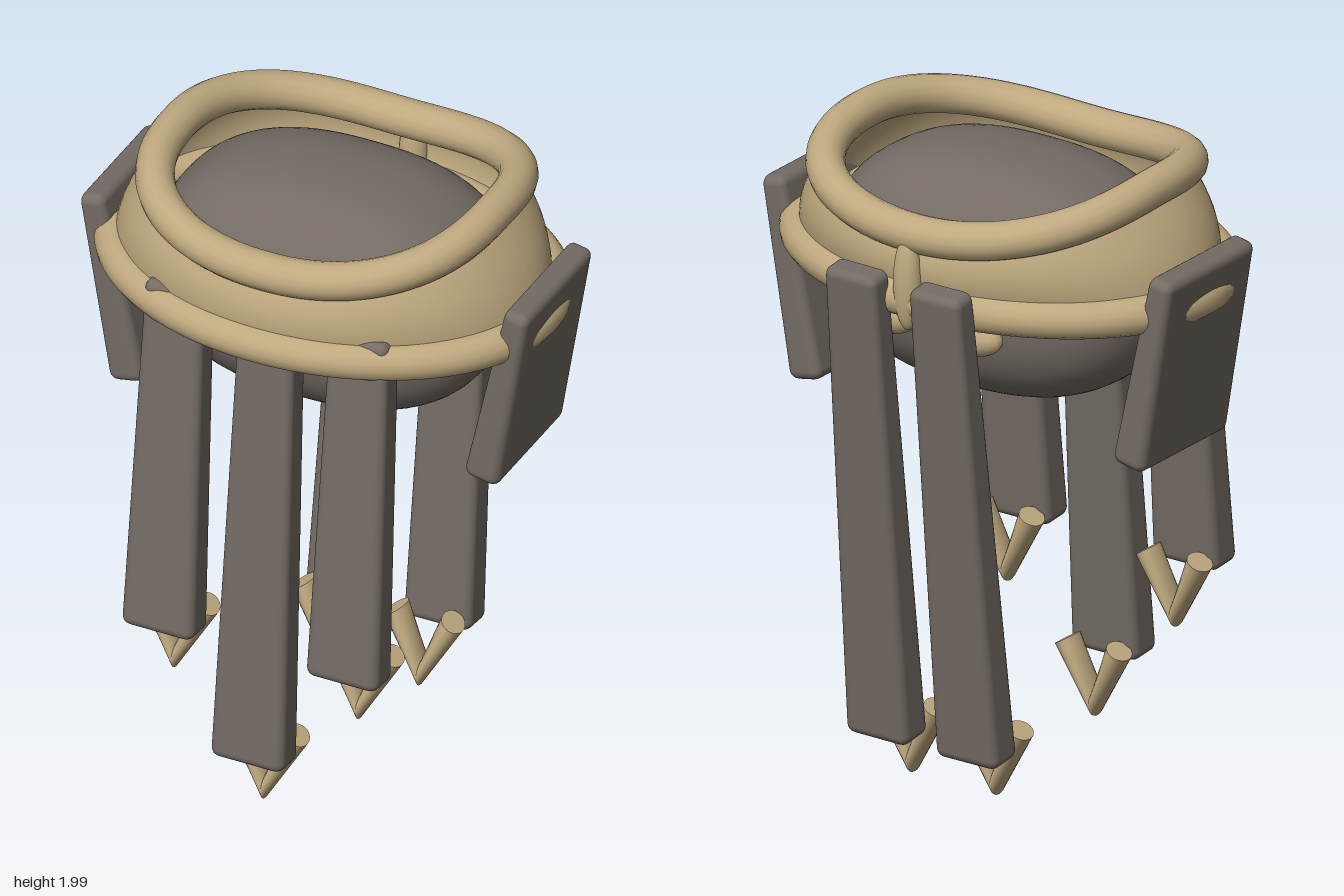
import * as THREE from 'three';
import { RoundedBoxGeometry } from 'three/addons/geometries/RoundedBoxGeometry.js';

export function createModel() {
  const model = new THREE.Group();
  const tan = new THREE.MeshStandardMaterial({ color: 0xbfa97f, side: THREE.DoubleSide });
  tan.name = 'tanLeather';
  const grey = new THREE.MeshStandardMaterial({ color: 0x736b64 });
  grey.name = 'darkGrey';

  const add = (name, geometry, material, x = 0, y = 0, z = 0) => {
    const mesh = new THREE.Mesh(geometry, material);
    mesh.name = name;
    mesh.position.set(x, y, z);
    model.add(mesh);
    return mesh;
  };

  // Apply a rule to every vertex of a geometry
  const reshape = (geometry, rule) => {
    const p = geometry.attributes.position;
    const v = new THREE.Vector3();
    for (let i = 0; i < p.count; i++) {
      rule(v.fromBufferAttribute(p, i));
      p.setXYZ(i, v.x, v.y, v.z);
    }
    return geometry;
  };

  // Squarish rounded core
  const core = reshape(new THREE.SphereGeometry(1, 64, 40), (v) => {
    const n = 2.5;
    const s = Math.abs(v.x) ** n + Math.abs(v.y) ** n + Math.abs(v.z) ** n;
    v.multiplyScalar(s ** (-1 / n)).multiply(new THREE.Vector3(0.54, 0.36, 0.365));
  });
  core.computeVertexNormals();
  add('core', core, grey, 0, 1.59, 0);

  // Rim paths: plain oval below, saddle-shaped rounded oval above
  const lowerPoint = (a) =>
    new THREE.Vector3(0.672 * Math.cos(a), 1.63, 0.015 + 0.49 * Math.sin(a));
  const upperPoint = (a) => {
    const c = Math.cos(a), s = Math.sin(a);
    const r = (Math.abs(c) ** 2.45 + Math.abs(s) ** 2.45) ** (-1 / 2.45);
    return new THREE.Vector3(0.515 * r * c, 1.845 + 0.097 * c * c + 0.01 * s, -0.005 + 0.465 * r * s);
  };
  const rim = (name, pointAt, radius) => {
    const points = [];
    for (let i = 0; i < 48; i++) points.push(pointAt((i / 48) * Math.PI * 2));
    const path = new THREE.CatmullRomCurve3(points, true);
    add(name, new THREE.TubeGeometry(path, 128, radius, 16, true), tan);
  };
  rim('lowerRim', lowerPoint, 0.058);
  rim('upperRim', upperPoint, 0.058);

  // Bulging collar between the rims
  const collar = reshape(new THREE.PlaneGeometry(1, 1, 96, 10), (v) => {
    const a = -(v.x + 0.5) * Math.PI * 2;
    const t = v.y + 0.5;
    const bulge = 0.028 * Math.sin(t * Math.PI);
    v.lerpVectors(lowerPoint(a), upperPoint(a), t);
    v.x += bulge * Math.cos(a);
    v.z += bulge * Math.sin(a);
  });
  collar.computeVertexNormals();
  add('collar', collar, tan);

  // Rounded slab running from a top point to a bottom point; sizes are [width, depth]
  const slab = (name, top, bottom, topSize, bottomSize) => {
    const from = new THREE.Vector3(...bottom), to = new THREE.Vector3(...top);
    const length = from.distanceTo(to);
    const [w, d] = bottomSize;
    const geometry = reshape(new RoundedBoxGeometry(w, length, d, 3, 0.03), (v) => {
      const t = v.y / length + 0.5;
      v.x *= 1 + (topSize[0] / w - 1) * t;
      v.z *= 1 + (topSize[1] / d - 1) * t;
    });
    const mesh = add(name, geometry, grey);
    mesh.position.copy(from).add(to).multiplyScalar(0.5);
    mesh.quaternion.setFromUnitVectors(new THREE.Vector3(0, 1, 0), to.sub(from).normalize());
  };

  // V-shaped claw: two tapering prongs mitred together at the tip
  const claw = (name, x, y, z) => {
    for (const side of [1, -1]) {
      const prong = reshape(new THREE.CylinderGeometry(1, 1, 1, 24, 1), (v) => {
        const t = v.y + 0.5, c = v.x, s = v.z;
        v.set(
          (0.0925 + 0.032 * c) * t,
          (0.042 - 0.042 * c) * (1 - t) + (0.23 - 0.02 * c) * t,
          (0.043 + 0.003 * t) * s
        );
      });
      if (side < 0) prong.rotateY(Math.PI);
      reshape(prong, (v) => { v.z -= 0.09 * v.y; });
      prong.computeVertexNormals();
      add(name, prong, tan, x, y, z);
    }
  };

  // Front straps and claws
  slab('frontCentreStrap', [0, 1.69, 0.41], [0, 0.195, 0.53], [0.18, 0.1], [0.238, 0.12]);
  claw('frontCentreClaw', 0, 0.012, 0.447);
  for (const side of [1, -1]) {
    const label = side > 0 ? 'Left' : 'Right';
    slab(`front${label}Strap`, [side * 0.3, 1.7, 0.41], [side * 0.3, 0.555, 0.513],
      [0.19, 0.1], [0.235, 0.12]);
    claw(`front${label}Claw`, side * 0.3, 0.37, 0.43);

    // Back straps and claws
    slab(`back${label}Strap`, [side * 0.15, 1.715, -0.547], [side * 0.16, 0.195, -0.38],
      [0.18, 0.085], [0.22, 0.125]);
    claw(`back${label}Claw`, side * 0.15, 0.035, -0.255);

    // Side pads
    slab(`side${label}Pad`, [side * 0.694, 1.76, 0], [side * 0.575, 1.145, 0],
      [0.078, 0.44], [0.115, 0.44]);

    // Strap loops tucked behind the straps
    const loop = new THREE.SphereGeometry(1, 20, 14);
    add(`back${label}Loop`, loop, tan, side * 0.15, 1.53, -0.41).scale.set(0.12, 0.06, 0.055);
    add(`front${label}Loop`, loop, tan, side * 0.3, 1.555, 0.355).scale.set(0.08, 0.055, 0.055);
  }

  // Spindle-shaped clasp at the back
  add('backClasp', new THREE.SphereGeometry(1, 20, 16), tan, 0, 1.69, -0.5).scale.set(0.045, 0.15, 0.04);

  return model;
}
